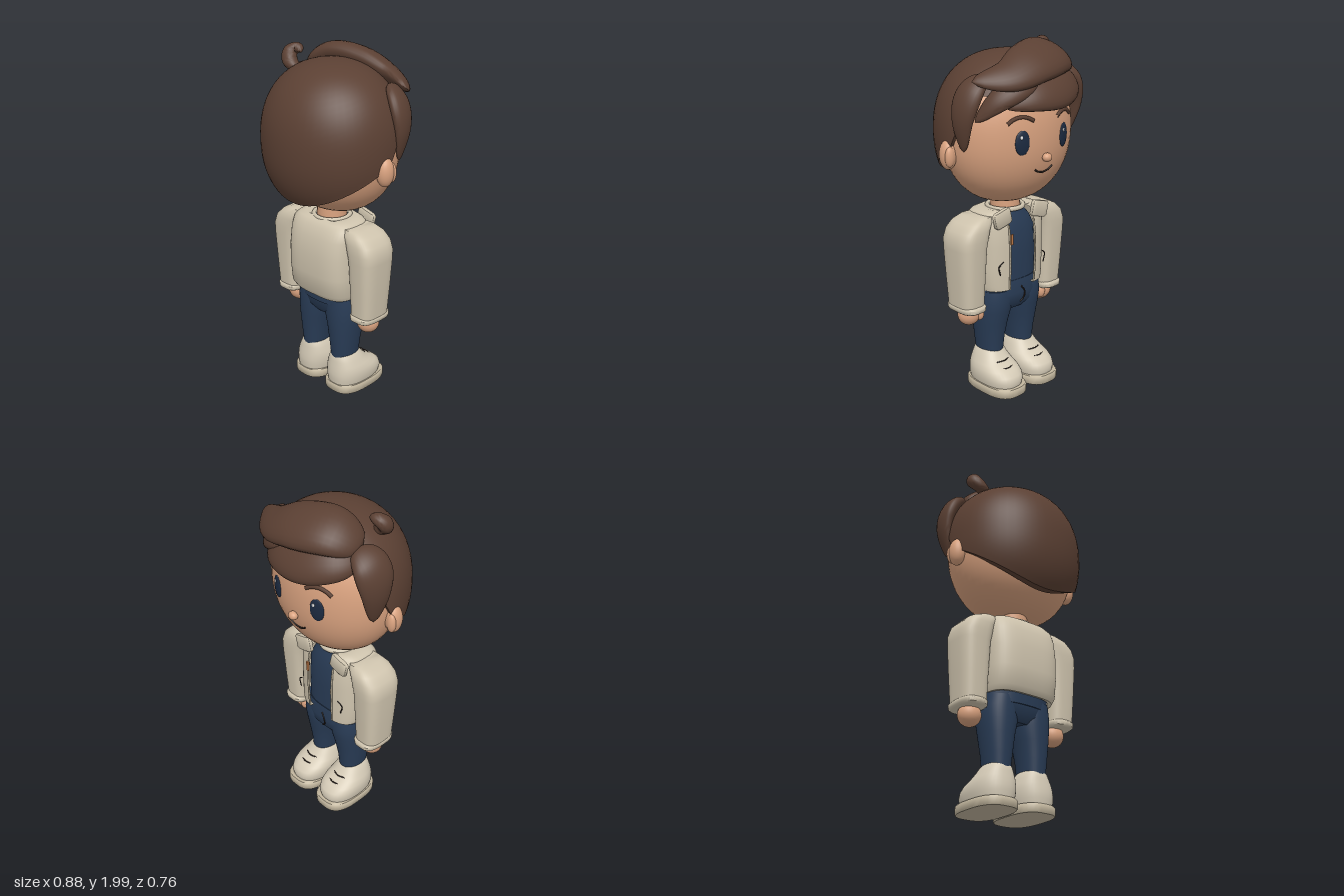
import * as THREE from 'three';
import { mergeVertices, toCreasedNormals } from 'three/addons/utils/BufferGeometryUtils.js';

const mat = (name, color, side = THREE.FrontSide) => {
  const m = new THREE.MeshStandardMaterial({ color, side });
  m.name = name;
  return m;
};

// Surface from a rule f(u, v) -> [x, y, z]; u runs anticlockwise seen from above, v upwards
function grid(f, nu, nv, crease = 0.9) {
  const pos = [], idx = [];
  for (let j = 0; j <= nv; j++)
    for (let i = 0; i <= nu; i++) pos.push(...f(i / nu, j / nv));
  for (let j = 0; j < nv; j++)
    for (let i = 0; i < nu; i++) {
      const a = j * (nu + 1) + i, c = a + nu + 1;
      idx.push(a, a + 1, c + 1, a, c + 1, c);
    }
  let g = new THREE.BufferGeometry();
  g.setAttribute('position', new THREE.Float32BufferAttribute(pos, 3));
  g.setIndex(idx);
  g = mergeVertices(g, 1e-5);
  const k = g.index.array, keep = [];
  for (let i = 0; i < k.length; i += 3)
    if (k[i] !== k[i + 1] && k[i + 1] !== k[i + 2] && k[i] !== k[i + 2]) keep.push(k[i], k[i + 1], k[i + 2]);
  g.setIndex(keep);
  return toCreasedNormals(g, crease);
}

const spow = (v, p) => Math.sign(v) * Math.abs(v) ** p;

// Stack of rounded-square sections [y, cx, cz, rx, rz]; gap leaves an opening towards -z
function loft(rows, n = 2.6, gap = 0, caps = true) {
  const r = caps ? [[...rows[0].slice(0, 3), 0, 0], ...rows, [...rows.at(-1).slice(0, 3), 0, 0]] : rows;
  return grid((u, v) => {
    const [y, cx, cz, rx, rz] = r[Math.round(v * (r.length - 1))];
    const a = -Math.PI + gap + u * 2 * (Math.PI - gap);
    return [cx + rx * spow(Math.sin(a), 2 / n), y, cz + rz * spow(Math.cos(a), 2 / n)];
  }, 40, r.length - 1);
}

// Head measurements shared by face and hair
const HY = 1.5, HZ = -0.005;
const bulge = (t, n) => Math.max(0, 1 - Math.abs(t) ** n) ** (1 / n);
const faceZ = (x, y) => HZ - 0.3 * Math.sqrt(Math.max(0, bulge((y - HY) / 0.4, 2.2) ** 2 - (x / 0.39) ** 2));

// Lock of hair: flattened tapering sweep that lies along the head
function lock(points, w, h, k = 0.75) {
  const curve = new THREE.CatmullRomCurve3(points.map(p => new THREE.Vector3(...p)));
  const centre = new THREE.Vector3(0, HY, 0);
  return grid((u, v) => {
    const P = curve.getPoint(v), T = curve.getTangent(v);
    const N = P.clone().sub(centre);
    N.addScaledVector(T, -N.dot(T)).normalize();
    const B = T.clone().cross(N);
    const s = v <= 0 || v >= 1 ? 0 : Math.sin(Math.PI * v ** k) ** 0.6;
    const a = -u * Math.PI * 2;
    return P.addScaledVector(B, w * s * Math.cos(a)).addScaledVector(N, h * s * Math.sin(a)).toArray();
  }, 24, 28, 1.2);
}

export function createModel() {
  const model = new THREE.Group();
  const skin = mat('skin', 0xd9a27f), hair = mat('hair brown', 0x5b4033, THREE.DoubleSide);
  const cream = mat('jacket cream', 0xcfc4ae, THREE.DoubleSide), shoeMat = mat('shoe cream', 0xd4cab6);
  const soleMat = mat('sole', 0xc3b79f), navy = mat('navy cloth', 0x293c56);
  const ink = mat('dark line', 0x2e2420), eyeMat = mat('eye navy', 0x1c2a40);
  const white = mat('eye white', 0xf2f2f2), orange = mat('tag orange', 0xc07a48);

  const add = (name, geo, m, p = [0, 0, 0], parent = model) => {
    const mesh = new THREE.Mesh(geo, m);
    mesh.name = name;
    mesh.position.set(...p);
    parent.add(mesh);
    return mesh;
  };
  const ball = (name, m, p, r) => {
    const b = add(name, new THREE.SphereGeometry(1, 28, 20), m, p);
    b.scale.set(...r);
    return b;
  };
  const line = (name, pts, r, m = ink) => add(name, new THREE.TubeGeometry(
    new THREE.CatmullRomCurve3(pts.map(p => new THREE.Vector3(...p))), 16, r, 6), m);
  const onFace = (x, y, d = 0.002) => [x, y, faceZ(x, y) - d];

  // Head, nose, mouth and neck
  add('head', grid((u, v) => {
    const t = -Math.cos(v * Math.PI), r = v <= 0 || v >= 1 ? 0 : bulge(t, 2.2), a = u * Math.PI * 2;
    return [0.39 * r * Math.sin(a), HY + 0.4 * t, HZ + 0.3 * r * Math.cos(a)];
  }, 48, 32, 1.5), skin);
  add('neck', new THREE.CylinderGeometry(0.08, 0.085, 0.16, 32), skin, [0, 1.09, 0.015]);
  ball('nose', skin, [0, 1.39, -0.31], [0.028, 0.024, 0.024]);
  line('mouth', [-0.065, -0.035, 0, 0.035, 0.065].map(x => onFace(x, 1.305 + 6 * x * x)), 0.005);

  // Shell of hair over crown and back, with a rim turned in to the head
  const hairline = c => c > 0 ? 1.44 - 0.24 * c ** 1.1 : 1.44 + 0.29 * Math.min(1, -c * 2.2);
  add('hairShell', grid((u, v) => {
    const a = u * Math.PI * 2, c = Math.cos(a);
    const t0 = (hairline(c) - HY) / 0.43, inner = v < 0.001;
    const lat0 = Math.asin(t0), lat = lat0 + (Math.PI / 2 - lat0) * Math.max(0, (v * 25 - 1) / 24);
    const t = Math.sin(lat), r = (v >= 1 ? 0 : bulge(t, 2.25)) * (inner ? 0.86 : 1);
    return [0.41 * r * Math.sin(a), HY + 0.43 * t, (c > 0 ? 0.385 : 0.34) * r * c];
  }, 56, 25, 0.9), hair);

  // Fringe, quiff, side locks and curl
  add('quiff', lock([[-0.28, 1.83, -0.09], [-0.15, 1.895, -0.17], [0.03, 1.88, -0.225],
    [0.2, 1.83, -0.235], [0.38, 1.81, -0.15]], 0.145, 0.07, 0.7), hair);
  add('fringe', lock([[-0.3, 1.78, -0.13], [-0.2, 1.77, -0.23], [-0.06, 1.74, -0.295],
    [0.1, 1.72, -0.3], [0.25, 1.68, -0.24]], 0.115, 0.055, 0.75), hair);
  add('smallFringe', lock([[0.02, 1.82, -0.25], [0.14, 1.78, -0.26], [0.26, 1.71, -0.22],
    [0.35, 1.6, -0.14]], 0.075, 0.04), hair);
  add('sideLockLeft', lock([[0.28, 1.83, -0.13], [0.36, 1.74, -0.11], [0.398, 1.62, -0.1],
    [0.385, 1.44, -0.09]], 0.08, 0.04), hair);
  add('sideLockRight', lock([[-0.27, 1.84, -0.12], [-0.36, 1.76, -0.11], [-0.395, 1.64, -0.11],
    [-0.375, 1.44, -0.1]], 0.105, 0.048), hair);
  add('curl', lock([[-0.2, 1.83, 0.05], [-0.27, 1.88, 0.06], [-0.3, 1.92, 0.035],
    [-0.265, 1.945, 0.01], [-0.225, 1.93, 0.02]], 0.045, 0.04), hair);

  // Body: shirt and hips
  add('shirt', loft([[0.56, 0, 0.02, 0.18, 0.125], [0.8, 0, 0.025, 0.18, 0.135], [0.94, 0, 0.02, 0.17, 0.125],
    [1.0, 0, 0.02, 0.14, 0.11], [1.045, 0, 0.015, 0.095, 0.09]]), navy);
  add('hips', loft([[0.47, 0, 0.01, 0.13, 0.09], [0.51, 0, 0.01, 0.2, 0.12], [0.57, 0, 0.01, 0.21, 0.13],
    [0.65, 0, 0.02, 0.195, 0.13]], 2.5), navy);
  line('flySeam', [[0, 0.61, -0.118], [-0.025, 0.57, -0.124], [-0.02, 0.53, -0.117], [0, 0.51, -0.112]], 0.004);

  // Jacket with open front
  add('jacketBody', loft([[0.615, 0, 0.02, 0.185, 0.13], [0.61, 0, 0.02, 0.205, 0.15], [0.64, 0, 0.03, 0.215, 0.16],
    [0.75, 0, 0.035, 0.22, 0.165], [0.87, 0, 0.035, 0.22, 0.165], [0.97, 0, 0.03, 0.22, 0.155],
    [1.03, 0, 0.025, 0.215, 0.135], [1.055, 0, 0.02, 0.19, 0.12], [1.068, 0, 0.015, 0.15, 0.1],
    [1.06, 0, 0.015, 0.1, 0.09]], 3.3, 0.25, false), cream);
  add('pocketBack', new THREE.TorusGeometry(0.1, 0.014, 8, 32), cream, [0, 1.06, 0.015]).rotation.x = Math.PI / 2;

  for (const s of [-1, 1]) {
    // Eyes, brows and ears
    const turn = -s * 0.32;
    const eye = ball('eye', eyeMat, onFace(s * 0.15, 1.485, -0.004), [0.042, 0.066, 0.012]);
    eye.rotation.y = turn;
    ball('eyeHighlight', white, onFace(s * 0.15 + 0.012, 1.515, 0.008), [0.008, 0.01, 0.004]).rotation.y = turn;
    line('brow', [0.085, 0.12, 0.155, 0.195, 0.225].map((x, i) =>
      onFace(s * x, 1.595 + [0, 0.018, 0.024, 0.014, -0.008][i])), 0.011, hair);
    ball('ear', skin, [s * 0.395, 1.41, 0.025], [0.045, 0.08, 0.05]);
    ball('earFold', skin, [s * 0.41, 1.405, -0.008], [0.028, 0.055, 0.022]);

    // Sleeve, cuff and hand
    add('sleeve', loft([[0.53, s * 0.292, 0.015, 0.075, 0.1], [0.7, s * 0.295, 0.015, 0.083, 0.11],
      [0.88, s * 0.296, 0.015, 0.092, 0.12], [0.93, s * 0.29, 0.015, 0.098, 0.122],
      [0.98, s * 0.275, 0.015, 0.095, 0.12], [1.02, s * 0.245, 0.015, 0.085, 0.11],
      [1.045, s * 0.215, 0.015, 0.06, 0.09]], 3.2), cream);
    add('cuff', loft([[0.51, s * 0.292, 0.012, 0.068, 0.1], [0.518, s * 0.292, 0.012, 0.078, 0.112],
      [0.54, s * 0.292, 0.012, 0.08, 0.114], [0.55, s * 0.292, 0.012, 0.072, 0.104]], 3), cream);
    ball('hand', skin, [s * 0.28, 0.48, 0.01], [0.065, 0.063, 0.062]);
    ball('thumb', skin, [s * 0.24, 0.485, -0.035], [0.026, 0.04, 0.026]);

    // Collar flap, zip edge and pocket seam
    add('collarFlap', loft([[-0.045, 0, 0, 0.05, 0.012], [-0.035, 0, 0, 0.06, 0.017], [0.035, 0, 0, 0.06, 0.017],
      [0.045, 0, 0, 0.05, 0.012]], 4), cream, [s * 0.14, 1.037, -0.115]).rotation.z = s * -0.25;
    line('zipEdge', [[s * 0.093, 0.615, -0.125], [s * 0.095, 0.75, -0.131], [s * 0.095, 0.87, -0.131],
      [s * 0.095, 0.99, -0.118]], 0.006, soleMat);
    line('pocketSeam', [[s * 0.145, 0.79, -0.131], [s * 0.175, 0.765, -0.127], [s * 0.165, 0.715, -0.127]], 0.0035);

    // Trouser leg
    add('leg', loft([[0.19, s * 0.115, 0.025, 0.064, 0.085], [0.3, s * 0.115, 0.025, 0.076, 0.095],
      [0.4, s * 0.113, 0.02, 0.09, 0.108], [0.47, s * 0.108, 0.015, 0.102, 0.118],
      [0.54, s * 0.106, 0.01, 0.106, 0.124], [0.6, s * 0.104, 0.012, 0.1, 0.12]], 2.2), navy);

    // Shoe: sole, upper, collar seam and laces
    add('sole', loft([[0, s * 0.124, -0.048, 0.118, 0.182], [0.006, s * 0.124, -0.048, 0.122, 0.186],
      [0.042, s * 0.124, -0.048, 0.122, 0.186], [0.05, s * 0.124, -0.048, 0.116, 0.18]], 2.8), soleMat);
    add('shoeUpper', loft([[0.045, s * 0.124, -0.04, 0.108, 0.168], [0.08, s * 0.124, -0.042, 0.117, 0.174],
      [0.11, s * 0.123, -0.036, 0.117, 0.168], [0.135, s * 0.122, -0.022, 0.114, 0.15],
      [0.16, s * 0.12, 0, 0.104, 0.124], [0.19, s * 0.118, 0.015, 0.09, 0.102],
      [0.22, s * 0.116, 0.023, 0.076, 0.088], [0.236, s * 0.115, 0.025, 0.062, 0.076]], 2.4), shoeMat);
    for (const [y, z, w] of [[0.145, -0.144, 0.055], [0.175, -0.106, 0.045]])
      line('lace', [[s * 0.122 - w, y, z + 0.012], [s * 0.122, y + 0.004, z - 0.004], [s * 0.122 + w, y, z + 0.012]], 0.0035);
    line('shoeSeam', [[s * 0.227, 0.125, -0.07], [s * 0.205, 0.128, -0.13], [s * 0.165, 0.13, -0.168]], 0.003);
  }
  add('zipTag', new THREE.BoxGeometry(0.016, 0.06, 0.009), orange, [0.09, 0.91, -0.139]);

  model.getObjectByName('pocketBack').name = 'neckBand';
  return model;
}
